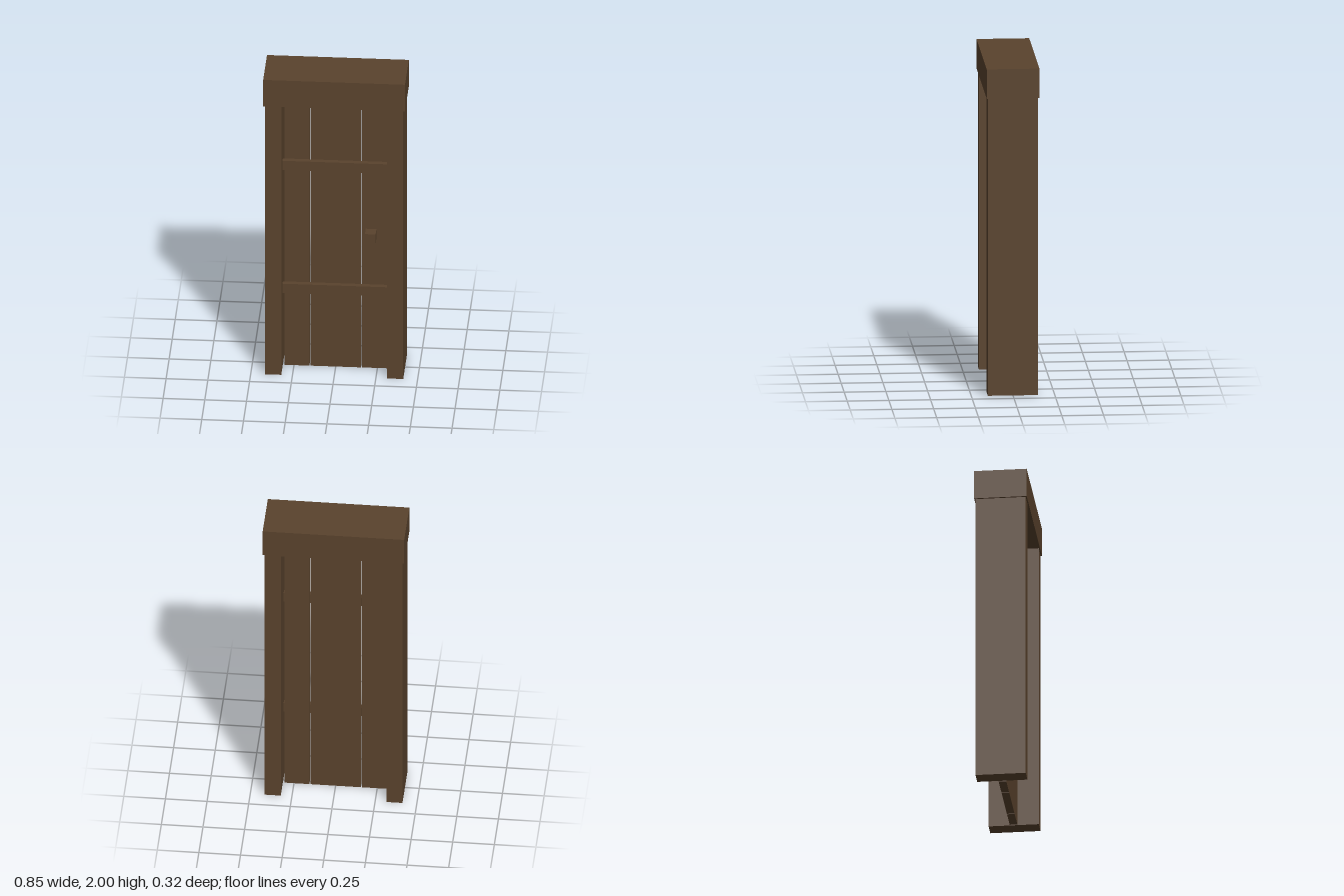
import * as THREE from 'three';

export function createModel() {
  const model = new THREE.Group();
  model.name = 'plankDoor';

  const darkWood = new THREE.MeshStandardMaterial({ color: 0x5a432d });
  darkWood.name = 'darkWood';

  // Box given by its limits along each axis
  function block(name, [x0, x1], [y0, y1], [z0, z1]) {
    const mesh = new THREE.Mesh(new THREE.BoxGeometry(x1 - x0, y1 - y0, z1 - z0), darkWood);
    mesh.name = name;
    mesh.position.set((x0 + x1) / 2, (y0 + y1) / 2, (z0 + z1) / 2);
    model.add(mesh);
  }

  const lintelBottom = 1.82;
  const doorFront = 0.023;
  const door = [-doorFront, doorFront];

  // Frame: lintel resting on two posts
  block('lintel', [-0.425, 0.425], [lintelBottom, 2], [-0.158, 0.158]);
  block('leftPost', [0.317, 0.414], [0, lintelBottom], [-0.151, 0.151]);
  block('rightPost', [-0.414, -0.317], [0, lintelBottom], [-0.151, 0.151]);

  // Door: three upright planks with narrow gaps
  block('leftPlank', [0.158, 0.307], [0, 1.794], door);
  block('centrePlank', [-0.151, 0.151], [0, 1.794], door);
  block('rightPlank', [-0.307, -0.158], [0, 1.794], door);

  // Cross battens on the front
  block('upperBatten', [-0.317, 0.317], [1.337, 1.4], [doorFront, 0.054]);
  block('lowerBatten', [-0.317, 0.317], [0.503, 0.566], [doorFront, 0.054]);

  // Square knob
  block('knob', [0.18, 0.244], [0.878, 0.942], [doorFront, 0.092]);

  return model;
}
